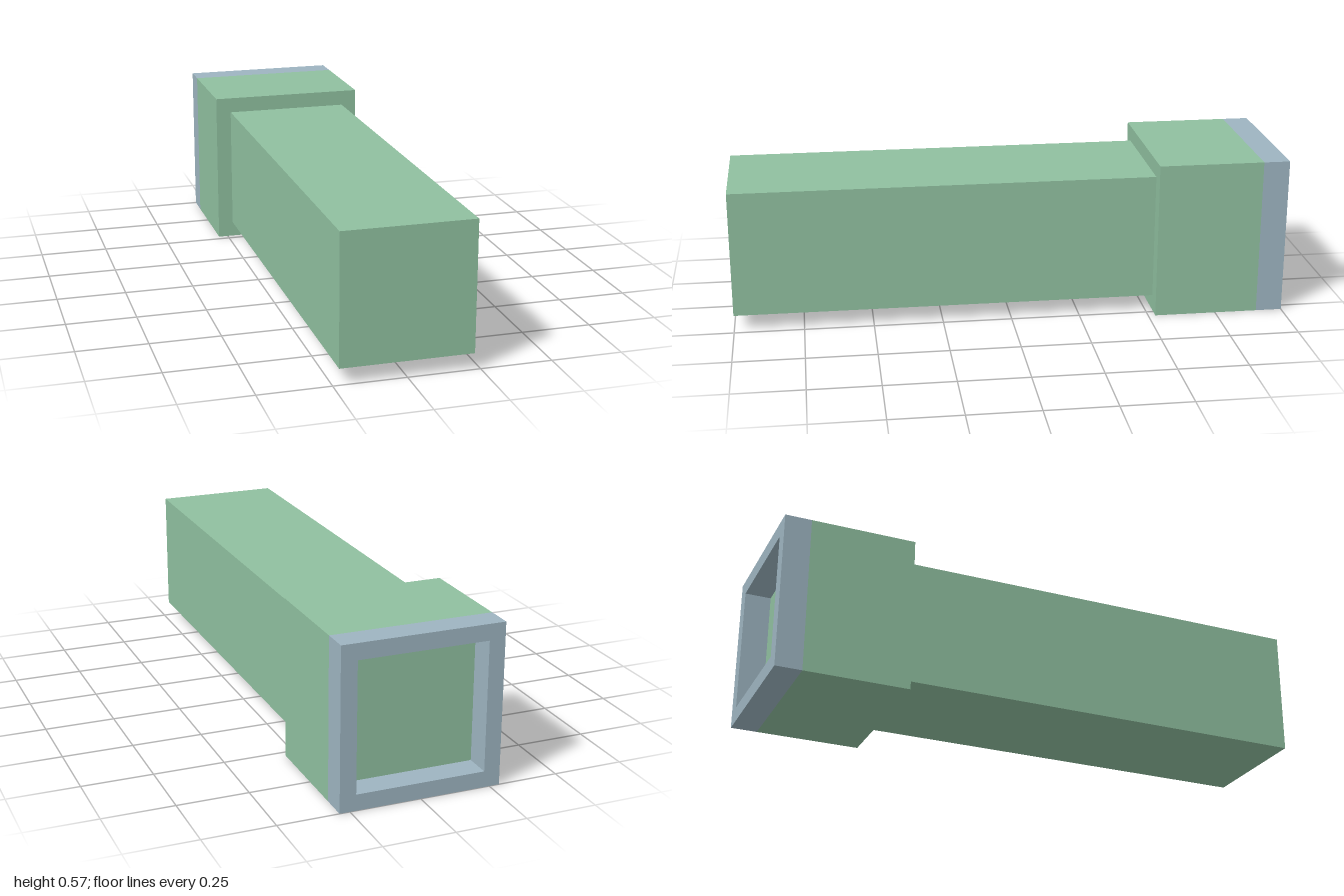
import * as THREE from 'three';

export function createModel() {
  const model = new THREE.Group();
  const green = new THREE.MeshStandardMaterial({ color: 0x8fbf9f });
  green.name = 'soft green';
  const grey = new THREE.MeshStandardMaterial({ color: 0x9db4c0 });
  grey.name = 'blue grey';

  const headSize = 0.572, shaftSize = 0.458, centreY = headSize / 2;
  const back = -1, rimFront = -0.905, headFront = -0.526, front = 1;

  // Square block running between two z positions
  function block(name, size, z0, z1) {
    const mesh = new THREE.Mesh(new THREE.BoxGeometry(size, size, z1 - z0), green);
    mesh.name = name;
    mesh.position.set(0, centreY, (z0 + z1) / 2);
    model.add(mesh);
  }
  block('shaft', shaftSize, headFront, front);
  block('head', headSize, rimFront, headFront);

  // Open square rim at the back, with the head as the floor of its recess
  const square = (Type, size) => {
    const h = size / 2;
    return new Type([[-h, -h], [h, -h], [h, h], [-h, h]].map(([x, y]) => new THREE.Vector2(x, y)));
  };
  const outline = square(THREE.Shape, headSize);
  outline.holes.push(square(THREE.Path, shaftSize));
  const rim = new THREE.Mesh(
    new THREE.ExtrudeGeometry(outline, { depth: rimFront - back, bevelEnabled: false }), grey);
  rim.name = 'rim';
  rim.position.set(0, centreY, back);
  model.add(rim);

  return model;
}
